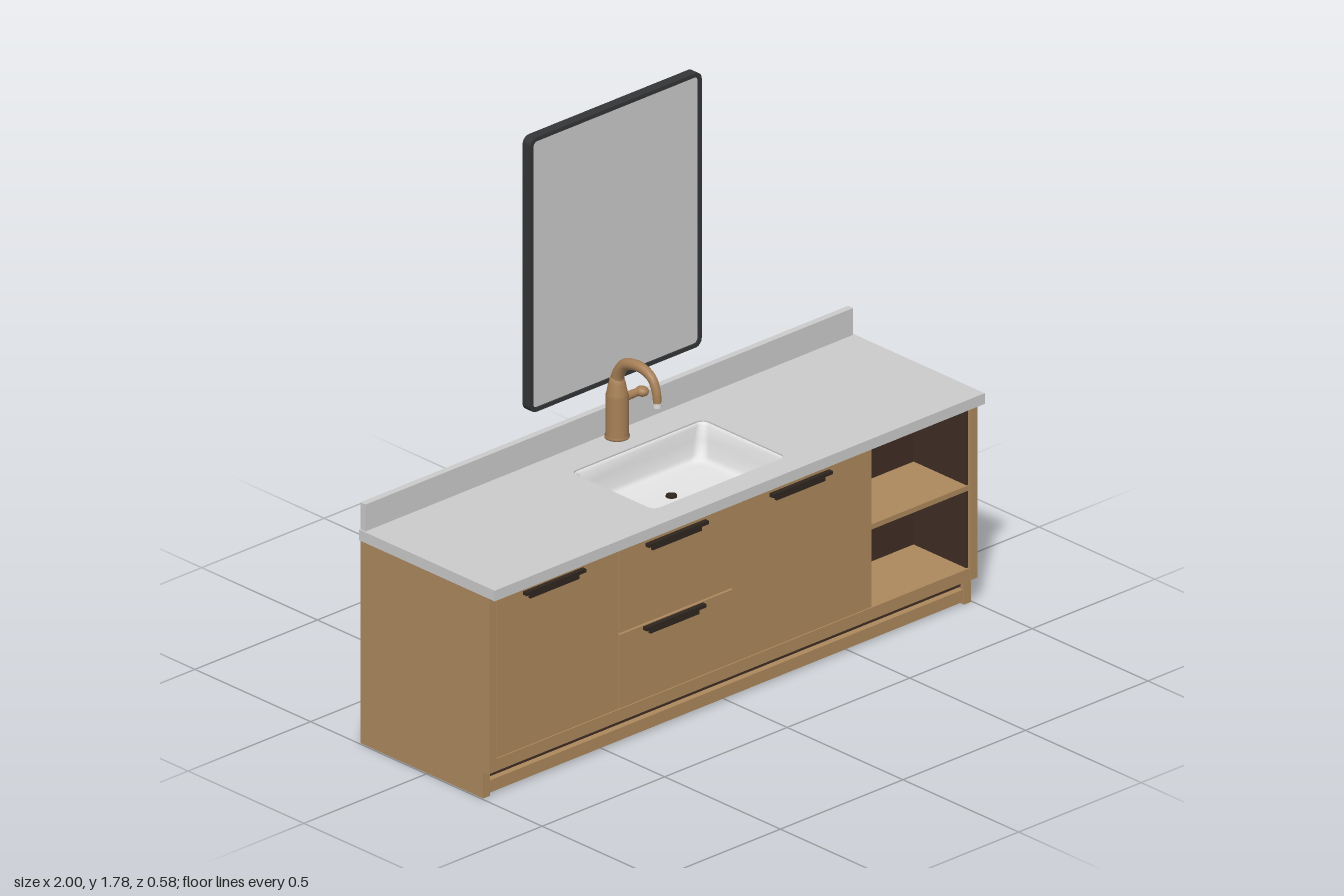
import * as THREE from 'three';

const mat = (name, color, side = THREE.FrontSide) => {
  const m = new THREE.MeshStandardMaterial({ color, side });
  m.name = name;
  return m;
};

// Rounded rectangle as a shape or hole path
function roundedRect(Type, cx, cy, hw, hh, r) {
  const p = new Type();
  p.absarc(cx + hw - r, cy + hh - r, r, 0, Math.PI / 2);
  p.absarc(cx - hw + r, cy + hh - r, r, Math.PI / 2, Math.PI);
  p.absarc(cx - hw + r, cy - hh + r, r, Math.PI, Math.PI * 1.5);
  p.absarc(cx + hw - r, cy - hh + r, r, Math.PI * 1.5, Math.PI * 2);
  p.closePath();
  return p;
}

// Basin lofted through rounded-rectangle rings: [y, centre z, half width, half depth, corner radius]
function basinGeometry(rings) {
  const steps = 6, n = 4 * steps, pos = [], index = [];
  for (const [y, cz, hw, hd, r] of rings) {
    for (let c = 0; c < 4; c++) for (let k = 0; k < steps; k++) {
      const a = (c + k / (steps - 1)) * Math.PI / 2;
      const sx = c === 0 || c === 3 ? 1 : -1, sz = c < 2 ? 1 : -1;
      pos.push(sx * (hw - r) + r * Math.cos(a), y, cz + sz * (hd - r) + r * Math.sin(a));
    }
  }
  for (let i = 0; i < rings.length - 1; i++) for (let j = 0; j < n; j++) {
    const a = i * n + j, b = i * n + (j + 1) % n;
    index.push(a, b, a + n, b, b + n, a + n);
  }
  const last = rings[rings.length - 1], base = (rings.length - 1) * n;
  pos.push(0, last[0], last[1]);
  for (let j = 0; j < n; j++) index.push(base + j, base + (j + 1) % n, rings.length * n);
  const g = new THREE.BufferGeometry();
  g.setAttribute('position', new THREE.Float32BufferAttribute(pos, 3));
  g.setIndex(index);
  g.computeVertexNormals();
  return g;
}

export function createModel() {
  const root = new THREE.Group();
  root.name = 'bathroomVanity';
  const wood = mat('wood', 0xad895d);
  const dark = mat('darkInterior', 0x3f2d24);
  const stone = mat('stone', 0xcbcbcb);
  const white = mat('ceramic', 0xe4e4e4, THREE.DoubleSide);
  const glass = mat('mirrorGlass', 0xcacaca);
  const frame = mat('blackFrame', 0x343536);
  const black = mat('handleBronze', 0x30251f);
  const brass = mat('brushedBronze', 0xa67f56);

  const add = (name, geo, m, x = 0, y = 0, z = 0, parent = root) => {
    const mesh = new THREE.Mesh(geo, m);
    mesh.name = name;
    mesh.position.set(x, y, z);
    parent.add(mesh);
    return mesh;
  };
  // Box given by its limits
  const box = (name, m, x0, x1, y0, y1, z0, z1, parent = root) =>
    add(name, new THREE.BoxGeometry(x1 - x0, y1 - y0, z1 - z0), m,
      (x0 + x1) / 2, (y0 + y1) / 2, (z0 + z1) / 2, parent);

  // Side panels with a toe notch
  const side = new THREE.Shape([[-0.29, 0], [0.24, 0], [0.24, 0.085], [0.268, 0.09], [0.268, 0.667], [-0.29, 0.667]]
    .map(([z, y]) => new THREE.Vector2(-z, y)));
  for (const [name, x] of [['rightSidePanel', -0.995], ['leftSidePanel', 0.967]]) {
    const g = new THREE.ExtrudeGeometry(side, { depth: 0.028, bevelEnabled: false });
    g.rotateY(Math.PI / 2);
    add(name, g, wood, x);
  }

  // Carcass
  box('backPanel', wood, -0.967, 0.967, 0.008, 0.667, -0.289, -0.27);
  box('undersidePanel', dark, -0.967, 0.967, 0.055, 0.085, -0.27, 0.225);
  box('plinthBoard', wood, -0.967, 0.967, 0.008, 0.048, 0.215, 0.236);
  box('plinthLining', dark, -0.967, 0.967, 0.008, 0.06, 0.205, 0.215);
  box('bottomRail', wood, -0.967, 0.967, 0.088, 0.128, 0.02, 0.264);
  box('frontBacking', dark, -0.967, 0.56, 0.128, 0.664, 0.235, 0.251);

  // Doors and drawer fronts
  const fronts = [
    ['rightDoor', -0.964, -0.468, 0.132, 0.66],
    ['upperDrawer', -0.463, -0.001, 0.379, 0.66],
    ['lowerDrawer', -0.463, -0.001, 0.132, 0.373],
    ['leftDoor', 0.0, 0.565, 0.132, 0.66],
  ];
  for (const [name, x0, x1, y0, y1] of fronts) box(name, wood, x0, x1, y0, y1, 0.251, 0.266);

  // Edge pulls: a wide lip over a narrower grip
  for (const [x, y] of [[-0.735, 0.638], [-0.235, 0.634], [0.27, 0.634], [-0.245, 0.364]]) {
    const h = new THREE.Group();
    h.name = 'handle';
    h.position.set(x, y, 0);
    root.add(h);
    box('handleLip', black, -0.122, 0.122, -0.005, 0.006, 0.264, 0.282, h);
    box('handleGrip', black, -0.1, 0.1, -0.022, -0.005, 0.264, 0.275, h);
  }

  // Open shelf compartment
  box('compartmentBack', dark, 0.565, 0.967, 0.128, 0.664, 0.01, 0.03);
  box('compartmentInnerWall', dark, 0.557, 0.567, 0.128, 0.664, 0.02, 0.251);
  box('compartmentOuterWall', dark, 0.96, 0.968, 0.128, 0.664, 0.02, 0.258);
  box('compartmentTop', dark, 0.565, 0.967, 0.658, 0.664, 0.02, 0.258);
  box('shelf', wood, 0.567, 0.967, 0.383, 0.4, 0.03, 0.262);

  // Countertop with basin opening, and backsplash
  const top = new THREE.Shape([[-1, -0.295], [1, -0.295], [1, 0.29], [-1, 0.29]].map(p => new THREE.Vector2(...p)));
  top.holes.push(roundedRect(THREE.Path, 0, -0.03, 0.27, 0.18, 0.025));
  const topGeo = new THREE.ExtrudeGeometry(top, { depth: 0.035, bevelEnabled: false, curveSegments: 6 });
  topGeo.rotateX(-Math.PI / 2);
  add('countertop', topGeo, stone, 0, 0.667);
  box('backsplash', stone, -0.995, 0.995, 0.7, 0.79, -0.29, -0.268);

  // Basin and drain
  add('basin', basinGeometry([
    [0.698, 0.03, 0.271, 0.181, 0.025], [0.69, 0.03, 0.262, 0.172, 0.025],
    [0.65, 0.018, 0.255, 0.158, 0.03], [0.605, 0.005, 0.245, 0.138, 0.035],
    [0.592, 0, 0.235, 0.126, 0.04], [0.586, -0.003, 0.215, 0.108, 0.04],
  ]), white);
  add('drain', new THREE.CylinderGeometry(0.017, 0.017, 0.006, 20), black, 0, 0.589, 0);

  // Mirror: rounded frame with glass on both faces
  const mirror = new THREE.Group();
  mirror.name = 'mirror';
  mirror.position.set(0.01, 1.33, -0.283);
  root.add(mirror);
  const rim = roundedRect(THREE.Shape, 0, 0, 0.35, 0.45, 0.025);
  rim.holes.push(roundedRect(THREE.Path, 0, 0, 0.337, 0.437, 0.016));
  add('mirrorFrame', new THREE.ExtrudeGeometry(rim, { depth: 0.033, bevelEnabled: false, curveSegments: 6 }), frame, 0, 0, 0, mirror);
  add('mirrorGlass', new THREE.ExtrudeGeometry(roundedRect(THREE.Shape, 0, 0, 0.338, 0.438, 0.017),
    { depth: 0.025, bevelEnabled: false, curveSegments: 6 }), glass, 0, 0, 0.003, mirror);

  // Faucet body
  const faucet = new THREE.Group();
  faucet.name = 'faucet';
  faucet.position.set(0, 0.7, -0.235);
  root.add(faucet);
  const profile = [[0, 0], [0.038, 0], [0.038, 0.008], [0.035, 0.012], [0.035, 0.138], [0.032, 0.148], [0.026, 0.18], [0.02, 0.2], [0, 0.2]];
  add('faucetBody', new THREE.LatheGeometry(profile.map(p => new THREE.Vector2(...p)), 28), brass, 0, 0, 0, faucet);

  // Gooseneck spout, narrowing towards the tip
  const path = new THREE.CatmullRomCurve3([[0.17, 0], [0.21, 0.006], [0.25, 0.034], [0.263, 0.075], [0.262, 0.115], [0.243, 0.152], [0.205, 0.17], [0.17, 0.174]]
    .map(([y, z]) => new THREE.Vector3(0, y, z)));
  const spout = new THREE.TubeGeometry(path, 40, 0.021, 14);
  const v = new THREE.Vector3(), p = spout.attributes.position;
  for (let i = 0; i < p.count; i++) {
    const t = Math.floor(i / 15) / 40, c = path.getPointAt(t);
    v.fromBufferAttribute(p, i).sub(c).multiplyScalar(1 - 0.4 * t).add(c);
    p.setXYZ(i, v.x, v.y, v.z);
  }
  add('spout', spout, brass, 0, 0, 0, faucet);
  add('spoutTip', new THREE.CylinderGeometry(0.014, 0.013, 0.014, 16), white, 0, 0.165, 0.174, faucet);

  // Side lever
  const stem = add('leverStem', new THREE.CylinderGeometry(0.012, 0.014, 0.06, 16), brass, 0.055, 0.128, 0.01, faucet);
  stem.rotation.z = -Math.PI / 2;
  const knob = add('leverKnob', new THREE.SphereGeometry(0.02, 18, 12), brass, 0.085, 0.13, 0.018, faucet);
  knob.scale.set(1, 0.8, 1.1);

  return root;
}
